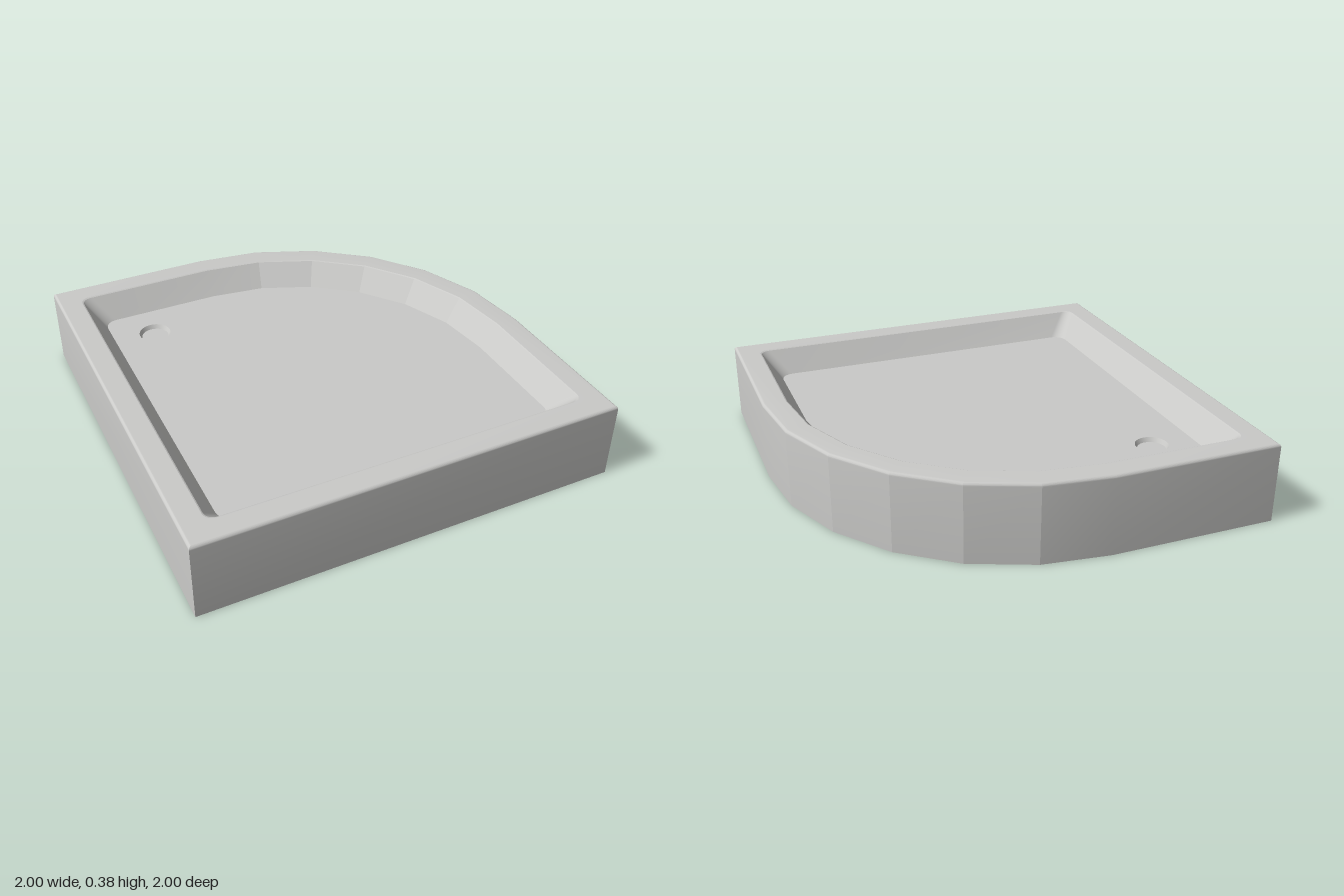
import * as THREE from 'three';
import { toCreasedNormals } from 'three/addons/utils/BufferGeometryUtils.js';

const FLOOR_Y = 0.265, RIM_Y = 0.38, BEVEL = 0.015;
const DRAIN = { x: -0.6, z: -0.605, r: 0.077 };
const CORNER_STEPS = 8, ARC_STEPS = 6, ARC_CENTRE = 0.21;

// Quadrant outline [x, z], counter-clockwise from above; r rounds the three square corners
function outline(inset, r) {
  const e = 1 - inset, pts = [];
  const arc = (cx, cz, radius, start, steps) => {
    for (let i = 0; i <= steps; i++) {
      const a = start + (i / steps) * Math.PI / 2;
      pts.push([cx + radius * Math.cos(a), cz - radius * Math.sin(a)]);
    }
  };
  arc(-e + r, e - r, r, Math.PI, CORNER_STEPS);
  arc(e - r, e - r, r, Math.PI * 1.5, CORNER_STEPS);
  arc(-ARC_CENTRE, ARC_CENTRE, e + ARC_CENTRE, 0, ARC_STEPS);
  arc(-e + r, -e + r, r, Math.PI / 2, CORNER_STEPS);
  return pts;
}

// Joins successive outlines [inset, y, cornerRadius] with bands of faces
function bands(sections) {
  const rings = sections.map(([inset, y, r]) =>
    outline(inset, r).map(([x, z]) => new THREE.Vector3(x, y, z)));
  const pos = [], tri = new THREE.Triangle();
  const add = (a, b, c) => {
    tri.set(a, b, c);
    if (tri.getArea() > 1e-9) for (const p of [a, b, c]) pos.push(p.x, p.y, p.z);
  };
  for (let k = 0; k < rings.length - 1; k++) {
    const lo = rings[k], hi = rings[k + 1];
    for (let i = 0; i < lo.length; i++) {
      const j = (i + 1) % lo.length;
      add(lo[i], lo[j], hi[j]);
      add(lo[i], hi[j], hi[i]);
    }
  }
  const geo = new THREE.BufferGeometry();
  geo.setAttribute('position', new THREE.Float32BufferAttribute(pos, 3));
  return toCreasedNormals(geo, 0.2);
}

// Flat shape from an outline; flip mirrors z into shape space
function plate(inset, r, flip) {
  const pts = outline(inset, r).map(([x, z]) => new THREE.Vector2(x, z * flip));
  return new THREE.Shape(pts.filter((p, i) => i === 0 || p.distanceTo(pts[i - 1]) > 1e-5));
}

export function createModel() {
  const group = new THREE.Group();
  group.name = 'showerTray';
  const enamel = new THREE.MeshStandardMaterial({ color: 0xcacac8 });
  enamel.name = 'greyEnamel';
  const add = (name, geo) => {
    const mesh = new THREE.Mesh(geo, enamel);
    mesh.name = name;
    group.add(mesh);
    return mesh;
  };

  // Outer walls, softened top edge, rim and sloping basin walls
  const sections = [[0, 0, 0]];
  for (let i = 0; i <= 8; i++) {
    const a = (i / 8) * Math.PI / 2;
    sections.push([BEVEL * (1 - Math.cos(a)), RIM_Y - BEVEL * (1 - Math.sin(a)), 0]);
  }
  sections.push([0.11, RIM_Y, 0.045], [0.116, RIM_Y - 0.003, 0.046], [0.198, FLOOR_Y, 0.06]);
  add('wallsAndRim', bands(sections));

  // Basin floor with the drain opening
  const floor = plate(0.198, 0.06, -1);
  floor.holes.push(new THREE.Path().absarc(DRAIN.x, -DRAIN.z, DRAIN.r, 0, Math.PI * 2, true));
  add('basinFloor', new THREE.ShapeGeometry(floor, 16).rotateX(-Math.PI / 2)).position.y = FLOOR_Y;

  // Shallow drain recess
  const profile = [[DRAIN.r, 0], [0.066, -0.02], [0, -0.02]].map(p => new THREE.Vector2(...p));
  const drain = add('drainRecess', toCreasedNormals(new THREE.LatheGeometry(profile, 32), 0.4));
  drain.position.set(DRAIN.x, FLOOR_Y, DRAIN.z);

  // Underside
  add('underside', new THREE.ShapeGeometry(plate(0, 0, 1)).rotateX(Math.PI / 2));
  return group;
}
